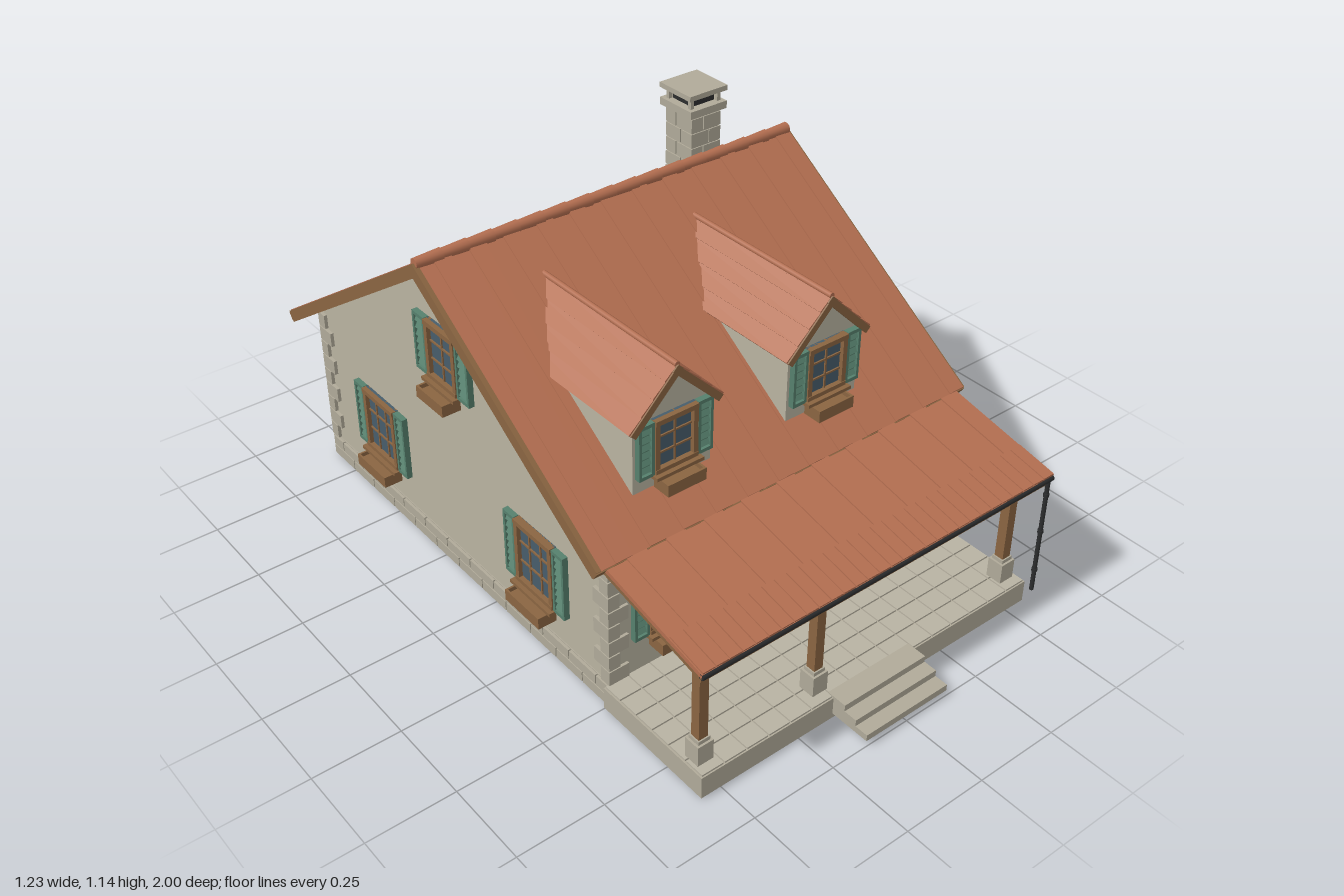
import * as THREE from 'three';

const mat = (name, color) => Object.assign(new THREE.MeshStandardMaterial({ color }), { name });
const M = {
  wall: mat('plaster', 0xb9b3a1), stone: mat('stone', 0xb0aa99), roof: mat('terracotta', 0xb36e50),
  wood: mat('timber', 0x8a6541), green: mat('painted green', 0x56806d), glass: mat('glass', 0x475d6b),
  dark: mat('dark metal', 0x2c2d2e), lamp: mat('lamp glow', 0xb9744c), tile: mat('porch tile', 0xb8b2a2),
};
const RIDGE_Z = -0.18, RIDGE_Y = 0.995, PITCH = Math.atan(0.665);

function add(parent, name, geo, m, x = 0, y = 0, z = 0) {
  const mesh = new THREE.Mesh(geo, m);
  mesh.name = name;
  mesh.position.set(x, y, z);
  parent.add(mesh);
  return mesh;
}
const box = (p, name, m, w, h, d, x = 0, y = 0, z = 0) => add(p, name, new THREE.BoxGeometry(w, h, d), m, x, y, z);
function group(parent, name, x = 0, y = 0, z = 0, ry = 0, rx = 0) {
  const g = new THREE.Group();
  g.name = name;
  g.position.set(x, y, z);
  g.rotation.set(rx, ry, 0, 'YXZ');
  parent.add(g);
  return g;
}
function extrude(points, depth) {
  const s = new THREE.Shape(points.map(([x, y]) => new THREE.Vector2(x, y)));
  return new THREE.ExtrudeGeometry(s, { depth, bevelEnabled: false });
}

// Framed rectangle with a grid of bars, lying on the plane z = 0
function panes(p, w, h, cols, rows, f, m) {
  box(p, 'glass', M.glass, w, h, 0.008, 0, 0, 0.004);
  for (const s of [-1, 1]) {
    box(p, 'frameSide', m, f, h, 0.02, s * (w - f) / 2, 0, 0.01);
    box(p, 'frameRail', m, w, f, 0.022, 0, s * (h - f) / 2, 0.011);
  }
  for (let i = 1; i < cols; i++) box(p, 'bar', m, 0.005, h, 0.012, (i / cols - 0.5) * (w - f), 0, 0.006);
  for (let i = 1; i < rows; i++) box(p, 'bar', m, w, 0.005, 0.012, 0, (i / rows - 0.5) * (h - f), 0.006);
}

// Window with shutters, sill and planter, facing local +z
function makeWindow(parent, x, y, z, ry, w, h, sw, cols) {
  const g = group(parent, 'window', x, y, z, ry);
  panes(g, w, h, cols, 3, 0.014, M.wood);
  box(g, 'sill', M.wood, w + 0.015, 0.01, 0.035, 0, -h / 2 - 0.003, 0.017);
  for (const s of [-1, 1]) {
    const sh = group(g, 'shutter', s * (w / 2 + sw / 2 + 0.002), 0, 0);
    box(sh, 'shutterBack', M.green, sw, h, 0.008, 0, 0, 0.005);
    for (const t of [-1, 1]) {
      box(sh, 'stile', M.green, 0.008, h, 0.016, t * (sw - 0.008) / 2, 0, 0.01);
      box(sh, 'rail', M.green, sw, 0.01, 0.016, 0, t * (h - 0.01) / 2, 0.01);
    }
    const n = Math.round(h / 0.022);
    for (let i = 1; i < n; i++)
      box(sh, 'louver', M.green, sw - 0.014, 0.016, 0.003, 0, (i / n - 0.5) * h, 0.011).rotation.x = -0.5;
  }
  const b = group(g, 'planter', 0, -h / 2 - 0.027, 0.032);
  const pw = w - 0.012;
  box(b, 'planterFloor', M.wood, pw, 0.022, 0.05, 0, -0.006, 0);
  for (const s of [-1, 1]) {
    box(b, 'planterSide', M.wood, pw, 0.034, 0.006, 0, 0, s * 0.025);
    box(b, 'planterEnd', M.wood, 0.006, 0.034, 0.05, s * (pw - 0.006) / 2, 0, 0);
  }
}

// Door standing on local y = 0, facing local +z
function makeDoor(parent, name, z, ry, w, h) {
  const g = group(parent, name, 0, 0.075, z, ry);
  box(g, 'doorLeaf', M.green, w, h, 0.012, 0, h / 2, 0.006);
  for (const s of [-1, 1]) {
    box(g, 'doorJamb', M.wood, 0.022, h + 0.022, 0.028, s * (w / 2 + 0.011), (h + 0.022) / 2, 0.014);
    panes(group(g, 'doorLight', s * w * 0.23, h * 0.7, 0.01), w * 0.36, h * 0.33, 2, 2, 0.005, M.green);
    box(g, 'doorPanel', M.green, w * 0.34, h * 0.36, 0.008, s * w * 0.23, h * 0.25, 0.013);
  }
  box(g, 'doorHead', M.wood, w + 0.06, 0.022, 0.032, 0, h + 0.011, 0.016);
  box(g, 'handlePlate', M.dark, 0.008, 0.026, 0.006, w * 0.41, h * 0.43, 0.015);
  add(g, 'knob', new THREE.SphereGeometry(0.007, 10, 8), M.dark, w * 0.41, h * 0.44, 0.024);
}

// Roof sheet falling from the local origin along +z: timber deck under lapped tile columns
function roofSheet(parent, name, x, y, z, ry, pitch, width, len, cols) {
  const g = group(parent, name, x, y, z, ry, pitch);
  box(g, 'deck', M.wood, width - 0.004, 0.014, len - 0.006, 0, -0.021, len / 2);
  const cw = width / cols;
  for (let i = 0; i < cols; i++) {
    const t = i % 2 ? 0.017 : 0.013;
    box(g, 'tileColumn', M.roof, cw, t, len, (i + 0.5) * cw - width / 2, t / 2 - 0.014, len / 2);
  }
  return g;
}

// Row of blocks along local x
function course(p, len, y, h, n, z, shift) {
  const bw = len / n;
  for (let i = 0; i < n + (shift ? 1 : 0); i++) {
    const a = Math.max(0, (i - (shift ? 0.5 : 0)) * bw), b = Math.min(len, (i + (shift ? 0.5 : 1)) * bw);
    box(p, 'stoneBlock', M.stone, b - a - 0.004, h - 0.004, 0.014, (a + b - len) / 2, y, z);
  }
}

function makeDormer(parent, x) {
  const g = group(parent, 'dormer', x, 0, 0);
  add(g, 'dormerWall', extrude([[-0.12, 0.58], [0.12, 0.58], [0.12, 0.77], [0, 0.89], [-0.12, 0.77]], 0.45), M.wall);
  makeWindow(g, 0, 0.702, 0.45, 0, 0.13, 0.155, 0.046, 2);
  for (const s of [-1, 1]) {
    const r = group(g, 'dormerRoof', 0, 0.915, 0);
    r.rotation.z = s > 0 ? -Math.PI / 4 : Math.PI / 4;
    box(r, 'dormerDeck', M.wood, 0.196, 0.01, 0.51, s * 0.098, -0.013, 0.205);
    for (let i = 0; i < 4; i++)
      box(r, 'dormerTiles', M.roof, 0.052, 0.01, 0.53, s * (0.025 + i * 0.05), -0.004, 0.203).rotation.z = s * 0.06;
    box(r, 'dormerBargeboard', M.wood, 0.2, 0.02, 0.012, s * 0.1, -0.012, 0.466);
  }
  add(g, 'dormerRidge', new THREE.CylinderGeometry(0.008, 0.008, 0.53, 8), M.roof, 0, 0.914, 0.203).rotation.x = Math.PI / 2;
}

function makePorch(p) {
  const g = group(p, 'porch');
  box(g, 'porchBase', M.stone, 1.125, 0.066, 0.38, 0, 0.039, 0.69);
  for (let i = 0; i < 16; i++) for (let j = 0; j < 6; j++)
    box(g, 'porchTile', M.tile, 0.066, 0.006, 0.058, (i - 7.5) * 0.07, 0.074, 0.532 + j * 0.063);
  for (let i = 0; i < 3; i++) box(g, 'frontStep', M.stone, 0.28, 0.019, 0.14 - i * 0.04, 0, 0.03 + i * 0.019, 0.93 - i * 0.02);
  const r = roofSheet(g, 'porchRoof', 0, 0.518, 0.48, 0, 0.205, 1.17, 0.43, 20);
  for (let i = 0; i < 30; i++) box(r, 'eaveTile', M.roof, 0.036, 0.005, 0.12, (i - 14.5) * 0.039, 0.004, 0.37);
  for (let i = 0; i < 9; i++) box(r, 'porchRafter', M.wood, 0.018, 0.022, 0.4, (i - 4) * 0.14, -0.038, 0.2);
  box(r, 'porchFascia', M.wood, 1.17, 0.022, 0.008, 0, -0.018, 0.426);
  box(g, 'porchBeam', M.wood, 1.115, 0.025, 0.03, 0, 0.405, 0.825);
  // posts with knee braces: [x, brace direction]
  for (const [x, d] of [[-0.525, 1], [-0.158, 1], [0.522, -1]]) {
    const q = group(g, 'porchPost', x, 0, 0.825);
    box(q, 'postFoot', M.stone, 0.048, 0.06, 0.048, 0, 0.107, 0);
    box(q, 'postFootCap', M.stone, 0.036, 0.012, 0.036, 0, 0.142, 0);
    box(q, 'post', M.wood, 0.028, 0.26, 0.028, 0, 0.275, 0);
    box(q, 'brace', M.wood, 0.09, 0.014, 0.016, d * 0.036, 0.37, 0).rotation.z = d * Math.PI / 4;
    box(q, 'brace', M.wood, 0.016, 0.014, 0.09, 0, 0.37, -0.036).rotation.x = Math.PI / 4;
  }
  add(g, 'gutter', new THREE.CylinderGeometry(0.009, 0.009, 1.17, 10), M.dark, 0, 0.421, 0.897).rotation.z = Math.PI / 2;
  add(g, 'downspout', new THREE.CylinderGeometry(0.006, 0.006, 0.37, 10), M.dark, 0.573, 0.236, 0.897);
  for (const y of [0.12, 0.25, 0.37]) add(g, 'pipeCollar', new THREE.CylinderGeometry(0.008, 0.008, 0.01, 10), M.dark, 0.573, y, 0.897);
  for (const s of [-1, 1]) {
    const l = group(g, 'lantern', s * 0.108, 0.33, 0.55);
    box(l, 'lanternArm', M.dark, 0.006, 0.006, 0.05, 0, 0.035, -0.025);
    add(l, 'lanternGlass', new THREE.CylinderGeometry(0.02, 0.014, 0.045, 6), M.lamp, 0, -0.005, 0);
    add(l, 'lanternCap', new THREE.CylinderGeometry(0.008, 0.027, 0.018, 6), M.dark, 0, 0.026, 0);
    add(l, 'lanternBase', new THREE.CylinderGeometry(0.016, 0.012, 0.005, 6), M.dark, 0, -0.03, 0);
  }
}

function makeChimney(p) {
  const g = group(p, 'chimney', 0.385, 0, -0.318);
  box(g, 'chimneyCore', M.stone, 0.096, 0.3, 0.106, 0, 0.93, 0);
  for (let i = 0; i < 6; i++) for (const s of [-1, 1]) for (const t of [-1, 1]) {
    const w = 0.053 + (i % 2 ? s : -s) * 0.01, d = 0.056 + (i % 2 ? t : -t) * 0.01;
    box(g, 'chimneyStone', M.stone, w - 0.003, 0.04, d - 0.003, s * (0.053 - w / 2), 0.828 + i * 0.044, t * (0.058 - d / 2));
  }
  box(g, 'chimneyCollar', M.stone, 0.128, 0.022, 0.134, 0, 1.088, 0);
  box(g, 'flue', M.dark, 0.08, 0.035, 0.08, 0, 1.113, 0);
  for (const s of [-1, 1]) for (const t of [-1, 1]) box(g, 'capLeg', M.stone, 0.012, 0.035, 0.012, s * 0.047, 1.115, t * 0.047);
  box(g, 'chimneyCap', M.stone, 0.132, 0.015, 0.132, 0, 1.137, 0);
}

export function createModel() {
  const root = new THREE.Group();
  root.name = 'cottage';
  // walls and stone plinth
  const body = group(root, 'body', 0, 0, RIDGE_Z);
  const gable = extrude([[-0.68, 0.06], [0.68, 0.06], [0.68, 0.512], [0, 0.962], [-0.68, 0.512]], 1.08);
  add(body, 'walls', gable.rotateY(Math.PI / 2), M.wall, -0.54);
  box(body, 'plinthCore', M.stone, 1.085, 0.07, 1.362, 0, 0.037, 0);
  for (let k = 0; k < 4; k++) {
    const side = group(body, 'plinth', 0, 0, 0, k * Math.PI / 2);
    const [len, z] = k % 2 ? [1.372, 0.543] : [1.1, 0.681];
    for (let j = 0; j < 2; j++) course(side, len, 0.02 + j * 0.034, 0.034, k % 2 ? 12 : 10, z, j);
  }
  // corner quoins
  for (const sx of [-1, 1]) for (const sz of [-1, 1]) for (let i = 0; i < 9; i++) {
    const w = i % 2 ? 0.035 : 0.062, d = i % 2 ? 0.062 : 0.035;
    box(body, 'quoin', M.stone, w, 0.044, d, sx * (0.55 - w / 2), 0.098 + i * 0.048, sz * (0.688 - d / 2));
  }
  // main roof
  for (const ry of [0, Math.PI]) {
    const r = roofSheet(root, 'mainRoof', 0, RIDGE_Y, RIDGE_Z, ry, PITCH, 1.22, 0.882, 24);
    for (const s of [-1, 1]) box(r, 'bargeboard', M.wood, 0.014, 0.034, 0.882, s * 0.608, -0.016, 0.441);
    box(r, 'fascia', M.wood, 1.23, 0.026, 0.01, 0, -0.016, 0.88);
    for (let i = 0; i < 13; i++) box(r, 'rafterTail', M.wood, 0.018, 0.02, 0.1, (i - 6) * 0.085, -0.037, 0.82);
  }
  for (let i = 0; i < 16; i++)
    add(root, 'ridgeTile', new THREE.CylinderGeometry(0.015, 0.018, 0.078, 10), M.roof, (i - 7.5) * 0.076, RIDGE_Y, RIDGE_Z).rotation.z = Math.PI / 2;
  // openings
  for (const s of [-1, 1]) {
    makeWindow(root, s * 0.34, 0.285, 0.5, 0, 0.176, 0.2, 0.046, 3);
    makeWindow(root, s * 0.34, 0.275, -0.86, Math.PI, 0.16, 0.2, 0.048, 3);
    for (const z of [0.203, -0.546]) makeWindow(root, s * 0.54, 0.272, z, s * Math.PI / 2, 0.16, 0.2, 0.048, 3);
    makeWindow(root, s * 0.54, 0.698, RIDGE_Z, s * Math.PI / 2, 0.136, 0.175, 0.055, 2);
  }
  makeDoor(root, 'frontDoor', 0.5, 0, 0.146, 0.3);
  makeDoor(root, 'backDoor', -0.86, Math.PI, 0.13, 0.28);
  box(root, 'backStep', M.stone, 0.215, 0.02, 0.14, 0, 0.025, -0.93);
  box(root, 'backStep', M.stone, 0.19, 0.028, 0.07, 0, 0.049, -0.895);
  makeDormer(root, -0.308);
  makeDormer(root, 0.18);
  makePorch(root);
  makeChimney(root);
  return root;
}
